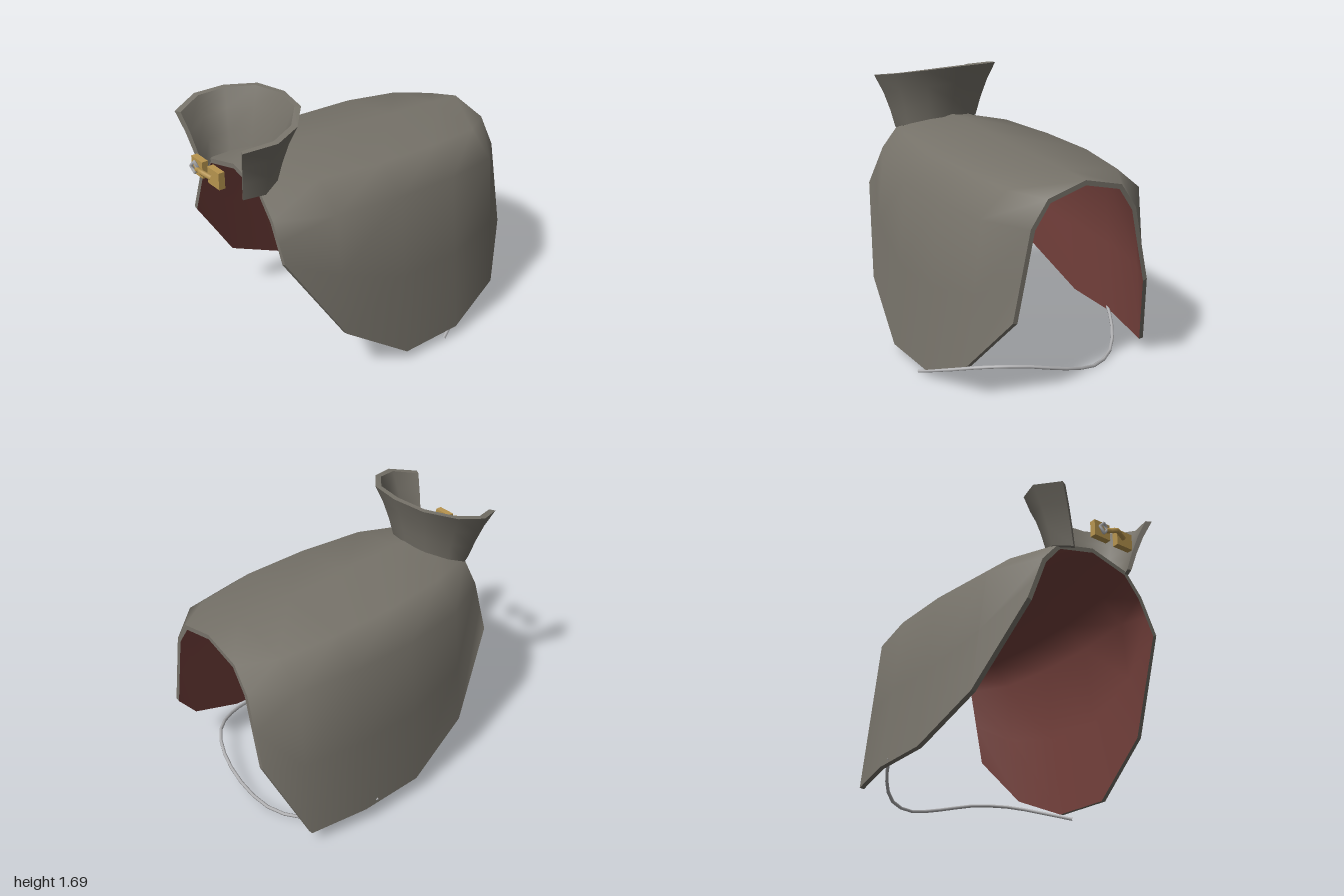
import * as THREE from 'three';

const mat = (name, color) => Object.assign(new THREE.MeshStandardMaterial({ color }), { name });

// Surface through rows of Vector3; smooth normals unless flat
function sheet(rows, flip = false, flat = false) {
  const w = rows[0].length, index = [];
  for (let i = 0; i < rows.length - 1; i++) {
    for (let j = 0; j < w - 1; j++) {
      const a = i * w + j, b = a + 1, c = a + w, d = c + 1;
      index.push(...(flip ? [a, c, b, b, c, d] : [a, b, c, b, d, c]));
    }
  }
  let g = new THREE.BufferGeometry().setFromPoints(rows.flat());
  g.setIndex(index);
  if (flat) g = g.toNonIndexed();
  g.computeVertexNormals();
  return g;
}

// Closed walk along the border of a grid of points
function border(rows) {
  const last = rows[0].length - 1;
  return [
    ...rows[0],
    ...rows.slice(1).map((r) => r[last]),
    ...rows[rows.length - 1].slice(0, -1).reverse(),
    ...rows.slice(0, -1).reverse().map((r) => r[0]),
  ];
}

// Thick cloth: outside, lining and rim
function shell(name, outer, inner, outMat, inMat) {
  const group = new THREE.Group();
  group.name = name;
  const add = (part, g, m) => {
    const mesh = new THREE.Mesh(g, m);
    mesh.name = name + part;
    group.add(mesh);
  };
  add('Outside', sheet(outer), outMat);
  add('Lining', sheet(inner, true), inMat);
  add('Rim', sheet([border(outer), border(inner)], true, true), outMat);
  return group;
}

export function createModel() {
  const cloth = mat('grey cloth', 0x77736a);
  const lining = mat('red lining', 0x7a443f);
  const gold = mat('brass', 0xb8954f);
  const silver = mat('silver', 0xb4b4b6);
  const model = new THREE.Group();
  const V = (x, y, z) => new THREE.Vector3(x, y, z);

  // Blanket sections: z, centre y, shoulder x y, ridge x y, hem x, hem y (+x), hem y (-x)
  const sections = [
    [0.76, 1.33, 0.27, 1.26, 0.39, 1.12, 0.5, 0.89, 0.83],
    [0.43, 1.358, 0.38, 1.28, 0.55, 1.12, 0.645, 0.35, 0.34],
    [0, 1.34, 0.43, 1.275, 0.61, 1.12, 0.715, 0.06, 0.12],
    [-0.42, 1.325, 0.43, 1.27, 0.61, 1.12, 0.715, 0.07, 0.11],
    [-0.79, 1.31, 0.38, 1.25, 0.55, 1.11, 0.645, 0.24, 0.09],
    [-1, 1.3, 0.25, 1.235, 0.36, 1.08, 0.47, 0.55, 0.61],
  ];
  const outer = sections.map(([z, cy, sx, sy, rx, ry, hx, hyL, hyR]) => {
    const side = (s, hy) => [
      V(s * sx, sy, z), V(s * rx, ry, z),
      V(s * (rx + hx) / 2, (ry + hy) / 2, z), V(s * hx, hy, z),
    ];
    return [...side(-1, hyR).reverse(), V(0, cy, z), ...side(1, hyL)];
  });
  // Lining is set in square to each section
  const inner = outer.map((row) => row.map((p, j) => {
    const t = row[Math.min(j + 1, row.length - 1)].clone().sub(row[Math.max(j - 1, 0)]);
    const n = V(t.y, -t.x, 0).normalize();
    return p.clone().addScaledVector(n, 0.03);
  }));
  model.add(shell('blanket', outer, inner, cloth, lining));

  // Collar: top and base rings from the back round to the open front
  const top = [[0, 1.69, 0.39], [0.22, 1.68, 0.43], [0.38, 1.65, 0.57], [0.44, 1.62, 0.74], [0.36, 1.58, 0.92]];
  const base = [[0, 1.34, 0.5], [0.15, 1.33, 0.53], [0.26, 1.29, 0.63], [0.3, 1.25, 0.74], [0.23, 1.22, 0.85]];
  const ring = (t) => {
    const half = top.map((p, i) => V(...p).lerp(V(...base[i]), t));
    const pinch = 1 - 0.16 * t * (1 - t);
    half.forEach((p) => { p.x *= pinch; p.z = 0.73 + (p.z - 0.73) * pinch; });
    return [...half.slice(1).reverse().map((p) => V(-p.x, p.y, p.z)), ...half];
  };
  const collarOut = [0, 0.33, 0.67, 1].map(ring);
  const collarIn = collarOut.map((r) => r.map((p) => V(p.x * 0.9, p.y, 0.73 + (p.z - 0.73) * 0.9)));
  model.add(shell('collar', collarOut, collarIn, cloth, cloth));

  const add = (name, g, m, x = 0, y = 0, z = 0) => {
    const mesh = new THREE.Mesh(g, m);
    mesh.name = name;
    mesh.position.set(x, y, z);
    model.add(mesh);
    return mesh;
  };
  const polyTube = (points, radius, sides) => {
    const path = new THREE.CurvePath();
    for (let i = 1; i < points.length; i++) path.add(new THREE.LineCurve3(points[i - 1], points[i]));
    return new THREE.TubeGeometry(new THREE.CatmullRomCurve3(points), (points.length - 1) * 2, radius, sides);
  };

  // Clasp: two plates, a bent tongue and a diamond ring
  for (const s of [-1, 1]) {
    add(s < 0 ? 'claspPlateRight' : 'claspPlateLeft', new THREE.BoxGeometry(0.118, 0.104, 0.04), gold, s * 0.088, 1.333, 0.93);
  }
  add('claspTongue', polyTube([
    V(-0.07, 1.33, 0.962), V(-0.035, 1.338, 0.966), V(0, 1.348, 0.98), V(0.035, 1.342, 0.97), V(0.075, 1.332, 0.955),
  ], 0.016, 6), gold);
  const loop = add('claspRing', new THREE.TorusGeometry(0.034, 0.012, 4, 4), silver, -0.09, 1.337, 0.965);
  loop.rotation.y = 0.15;

  // Tail cord sagging behind the blanket, slightly twisted
  add('tailCord', polyTube([
    V(-0.71, 0.14, -0.32), V(-0.62, 0.085, -0.5), V(-0.46, 0.02, -0.7), V(-0.25, 0.017, -0.82), V(0, 0.08, -0.86),
    V(0.25, 0.145, -0.82), V(0.46, 0.145, -0.7), V(0.62, 0.08, -0.5), V(0.71, 0.015, -0.32),
  ], 0.011, 6), silver);

  return model;
}
